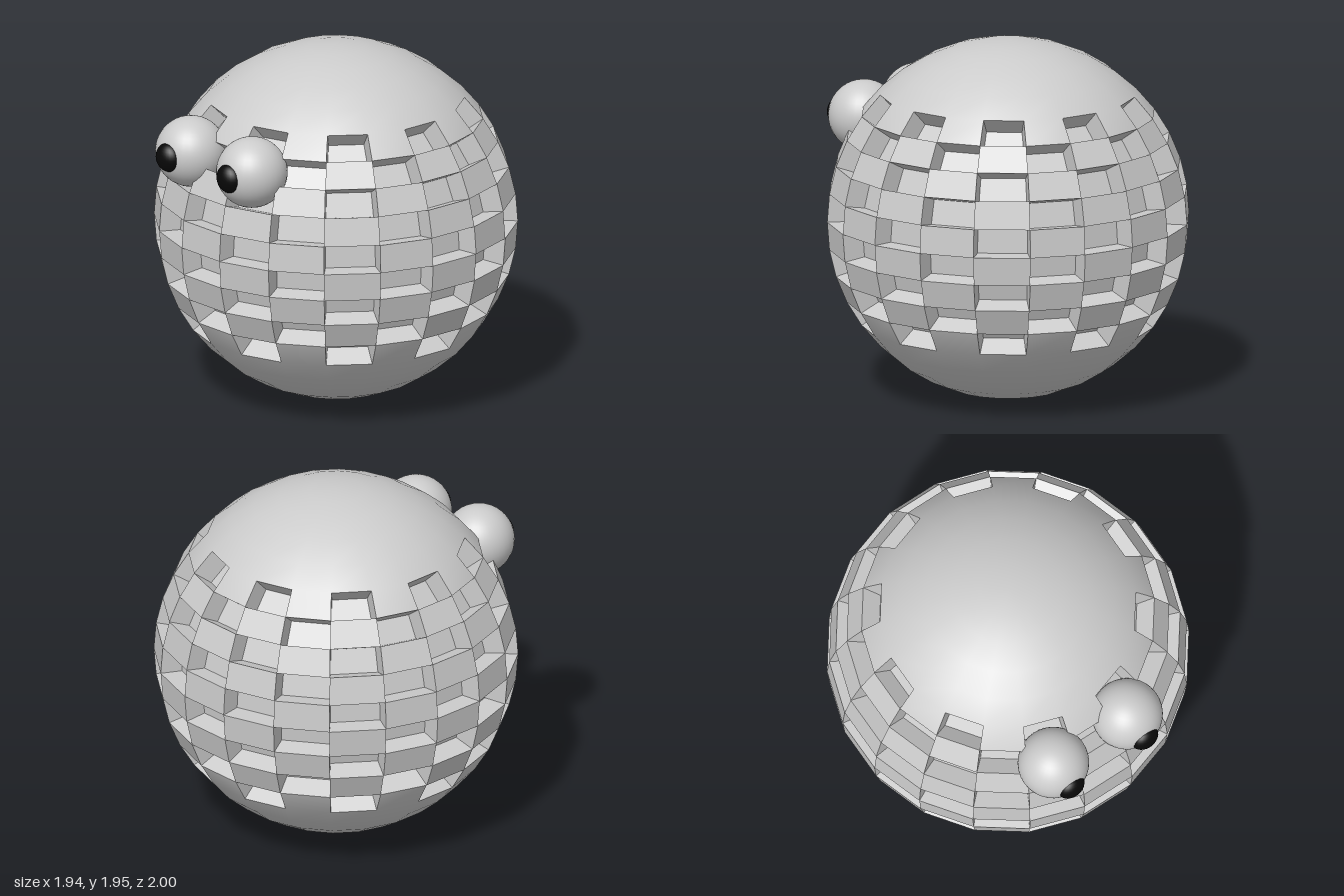
import * as THREE from 'three';

const COLS = 20, ROWS = 20;           // 18 degree columns, 9 degree rows
const FIRST = 6, LAST = 14;           // rows of the checkered band
const R = 0.977, INNER = R * 0.88;    // outer surface and recess floor
const TWIST = -1.2;                   // slight turn of the ball about y

function point(i, j, r) {
  const lat = THREE.MathUtils.degToRad(9 * j - 90);
  const lon = THREE.MathUtils.degToRad(18 * i - 9 + TWIST);
  return new THREE.Vector3(
    r * Math.cos(lat) * Math.sin(lon), r * Math.sin(lat), r * Math.cos(lat) * Math.cos(lon));
}

function cell(i, j, r) {
  return [point(i, j, r), point(i + 1, j, r), point(i + 1, j + 1, r), point(i, j + 1, r)];
}

function addQuad(list, [a, b, c, d]) {
  for (const p of [a, b, c, a, c, d]) list.push(p);
}

function makeMesh(name, points, smooth) {
  const geometry = new THREE.BufferGeometry().setFromPoints(points);
  if (smooth) {
    const normals = points.flatMap((p) => p.clone().normalize().toArray());
    geometry.setAttribute('normal', new THREE.Float32BufferAttribute(normals, 3));
  } else geometry.computeVertexNormals();
  const mesh = new THREE.Mesh(geometry, new THREE.MeshStandardMaterial({ color: 0xcccccc, flatShading: !smooth }));
  mesh.name = name;
  return mesh;
}

function createBall() {
  const caps = [], panels = [], recesses = [];
  for (let j = 0; j < ROWS; j++) {
    for (let i = 0; i < COLS; i++) {
      const outer = cell(i, j, R);
      const inBand = j >= FIRST && j <= LAST;
      if (inBand && (i + j) % 2 === 1) {
        // sunken cell: floor and four walls
        const inner = cell(i, j, INNER);
        addQuad(recesses, inner);
        for (let k = 0; k < 4; k++) {
          const n = (k + 1) % 4;
          addQuad(recesses, [outer[k], outer[n], inner[n], inner[k]]);
        }
      } else {
        // raised cells in the outermost band rows blend into the smooth caps
        addQuad(j > FIRST && j < LAST ? panels : caps, outer);
      }
    }
  }
  const ball = new THREE.Group();
  ball.name = 'ball';
  ball.add(makeMesh('smoothCaps', caps, true), makeMesh('raisedPanels', panels, false),
    makeMesh('recesses', recesses, false));
  ball.position.set(0, 0.982, -0.028);
  return ball;
}

function createEye(name, x) {
  const eye = new THREE.Group();
  eye.name = name;
  const eyeball = new THREE.Mesh(
    new THREE.SphereGeometry(0.192, 32, 24), new THREE.MeshStandardMaterial({ color: 0xcccccc }));
  eyeball.name = 'eyeball';
  // flattened dark pupil on the front of the eyeball
  const pupil = new THREE.Mesh(
    new THREE.SphereGeometry(0.08, 24, 16), new THREE.MeshStandardMaterial({ color: 0x080808 }));
  pupil.name = 'pupil';
  pupil.scale.z = 0.75;
  pupil.position.z = 0.162;
  eye.add(eyeball, pupil);
  eye.position.set(x, 1.472, 0.778);
  return eye;
}

export function createModel() {
  const model = new THREE.Group();
  model.name = 'checkeredBallWithEyes';
  model.add(createBall(), createEye('rightEye', -0.27), createEye('leftEye', 0.213));
  return model;
}
